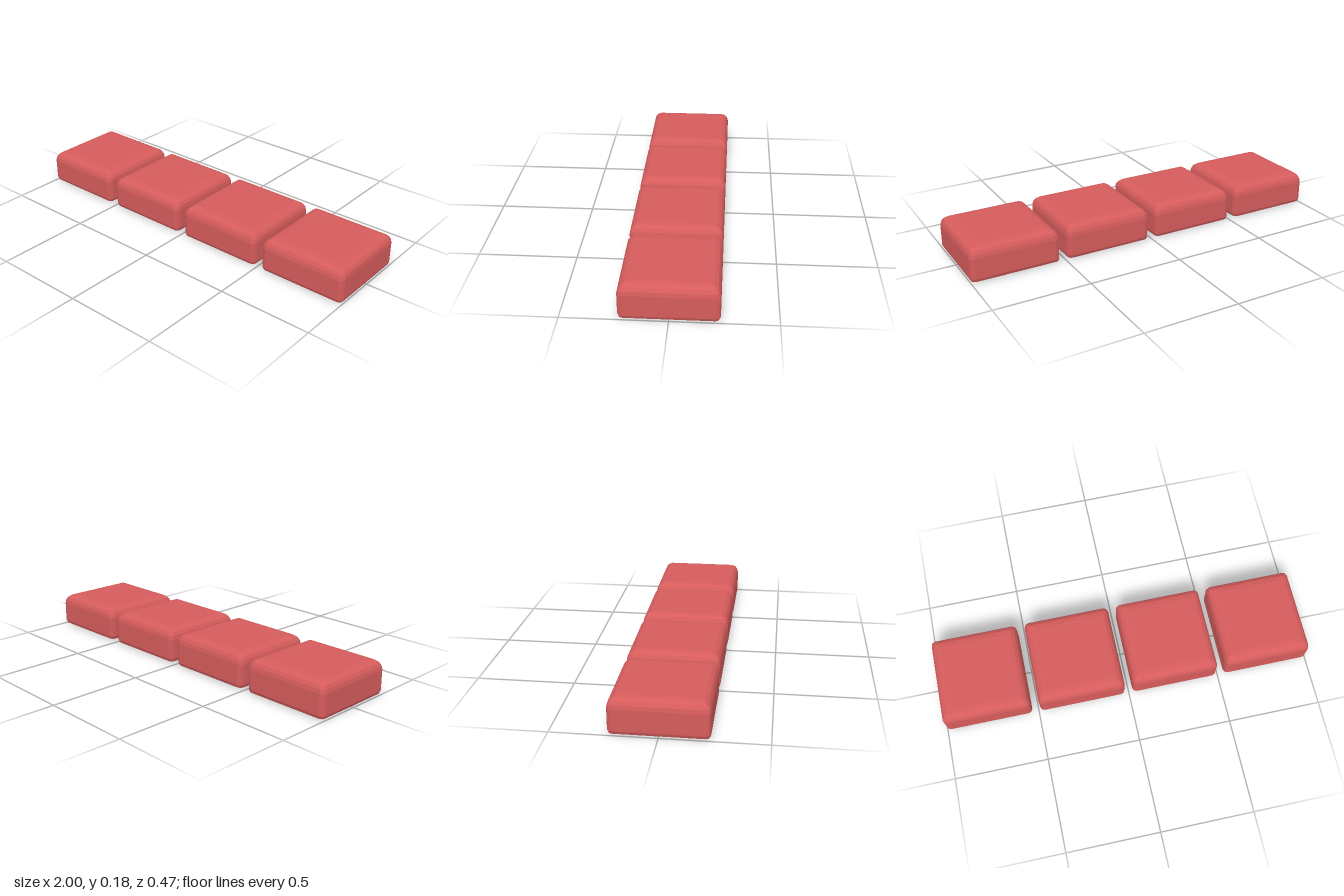
import * as THREE from 'three';

const HALF = 0.234;      // half width of one cushion
const CORNER = 0.023;    // radius of the upright corners
const PITCH = 0.511;     // distance between cushion centres

// Side profile from bottom to top: [inset, height]
const PROFILE = [
  [0.022, 0], [0.006, 0.007], [0, 0.022],
  [0, 0.13], [0.004, 0.15], [0.014, 0.167], [0.032, 0.179], [0.057, 0.183],
];

// Square outline with two-step rounded corners
function ring(inset, y, radius) {
  const points = [];
  const c = HALF - inset - radius;
  for (let q = 0; q < 4; q++) {
    const mid = (q + 0.5) * Math.PI / 2;
    for (let s = 0; s <= 2; s++) {
      const a = (q + s / 2) * Math.PI / 2;
      points.push([
        Math.sign(Math.cos(mid)) * c + radius * Math.cos(a),
        y,
        Math.sign(Math.sin(mid)) * c + radius * Math.sin(a),
      ]);
    }
  }
  return points;
}

// Stack the outlines, then close the bottom and top
function cushionGeometry() {
  const n = 12;
  const last = PROFILE.length - 1;
  const positions = [];
  const index = [];
  for (const [inset, y] of PROFILE) {
    const shrink = y < 0.1 ? inset / 0.03 : inset / 0.065;
    positions.push(...ring(inset, y, CORNER * (1 - shrink)).flat());
  }
  const bottom = PROFILE.length * n;
  const top = bottom + 1;
  positions.push(0, 0, 0, 0, PROFILE[last][1], 0);
  for (let i = 0; i < n; i++) {
    const k = (i + 1) % n;
    for (let j = 0; j < last; j++) {
      const a = j * n + i, b = j * n + k;
      index.push(a, a + n, b, b, a + n, b + n);
    }
    index.push(bottom, i, k, top, last * n + k, last * n + i);
  }
  const geometry = new THREE.BufferGeometry();
  geometry.setAttribute('position', new THREE.Float32BufferAttribute(positions, 3));
  geometry.setIndex(index);
  const faceted = geometry.toNonIndexed();
  faceted.computeVertexNormals();
  return faceted;
}

export function createModel() {
  const group = new THREE.Group();
  group.name = 'cushionRow';
  const geometry = cushionGeometry();
  const material = new THREE.MeshStandardMaterial({ color: 0xd65c5c, flatShading: true });
  // Four equal seat cushions in a row
  for (let i = 0; i < 4; i++) {
    const cushion = new THREE.Mesh(geometry, material);
    cushion.name = `cushion${i + 1}`;
    cushion.position.x = (i - 1.5) * PITCH;
    group.add(cushion);
  }
  return group;
}
